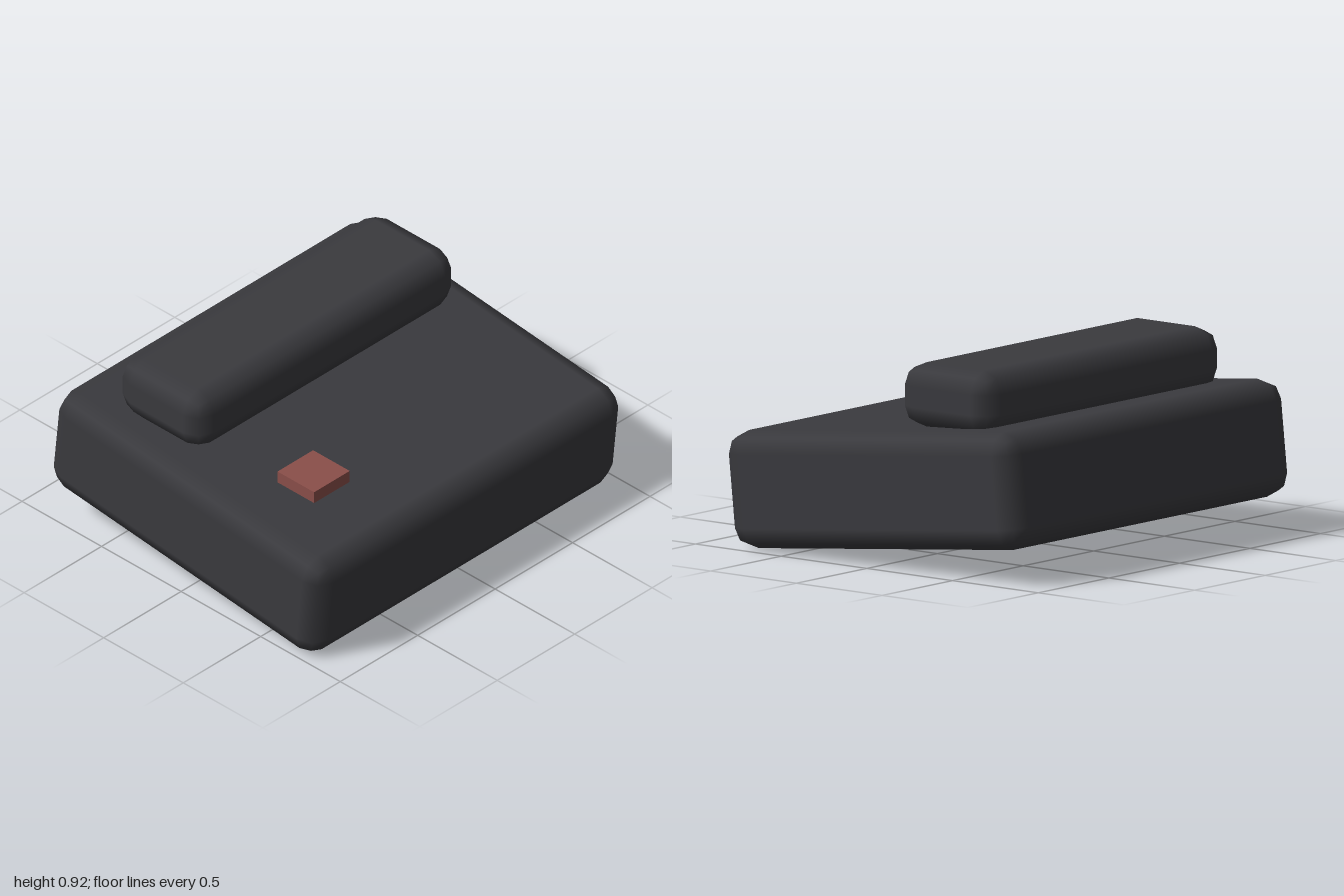
import * as THREE from 'three';
import { RoundedBoxGeometry } from 'three/addons/geometries/RoundedBoxGeometry.js';

export function createModel() {
  const model = new THREE.Group();
  model.name = 'tiltedCushion';

  const charcoal = new THREE.MeshStandardMaterial({ name: 'charcoal', color: 0x3a3a3e });
  const brickRed = new THREE.MeshStandardMaterial({ name: 'brickRed', color: 0x8b4f4a });

  const add = (name, geometry, material, x, y, z) => {
    const mesh = new THREE.Mesh(geometry, material);
    mesh.name = name;
    mesh.position.set(x, y, z);
    model.add(mesh);
    return mesh;
  };

  // Softly rounded seat, raised at the back
  const seat = add('seat', new RoundedBoxGeometry(2, 0.537, 1.69, 1, 0.1), charcoal, 0, 0.346, 0);
  seat.rotation.x = 0.105;

  // Level bolster resting on the rear half
  add('bolster', new RoundedBoxGeometry(1.69, 0.295, 0.535, 1, 0.1), charcoal, 0, 0.778, -0.308);

  // Small sharp-edged tag hovering above the front right
  add('tag', new THREE.BoxGeometry(0.23, 0.06, 0.23), brickRed, -0.617, 0.67, 0.46);

  return model;
}
